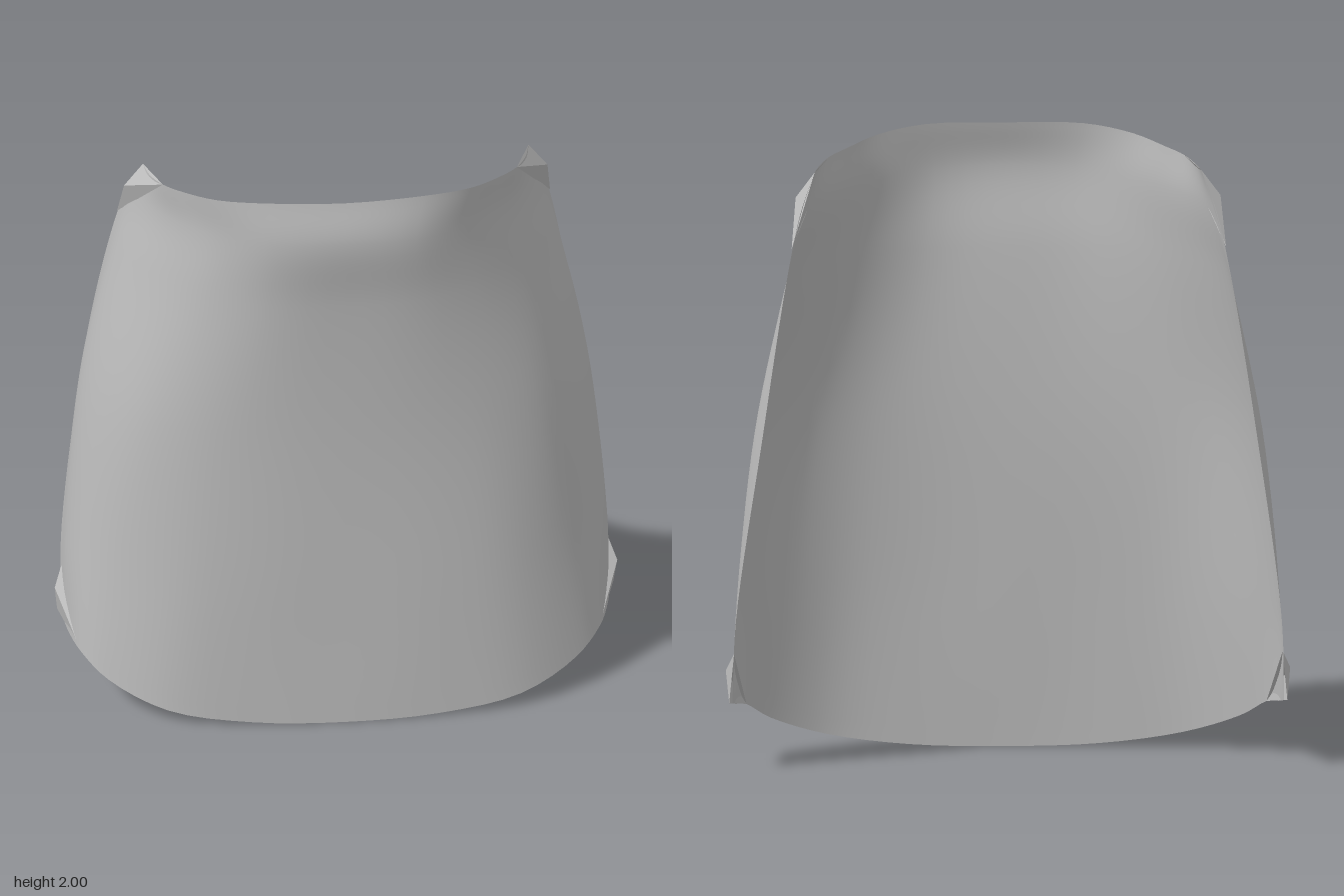
import * as THREE from 'three';
import { ParametricGeometry } from 'three/addons/geometries/ParametricGeometry.js';

// Half cross-sections from the centre line to the side edge, bottom to top.
const sections = [
  [[0, 0, .25], [.3, .01, .24], [.56, .05, .21], [.74, .12, .125], [.82, .18, .05], [.855, .2, -.05], [.87, .22, -.14]],
  [[0, .45, .24], [.3, .45, .235], [.53, .46, .2], [.71, .48, .11], [.81, .5, .01], [.855, .5, -.1], [.86, .5, -.2]],
  [[0, 1.1, .24], [.3, 1.1, .225], [.5, 1.1, .18], [.65, 1.1, .1], [.755, 1.1, -.03], [.8, 1.1, -.17], [.78, 1.1, -.3]],
  [[0, 1.6, .265], [.24, 1.6, .25], [.42, 1.6, .18], [.55, 1.6, .08], [.64, 1.6, -.03], [.69, 1.6, -.14], [.7, 1.6, -.225]],
  [[0, 1.86, .297], [.22, 1.85, .275], [.36, 1.84, .21], [.47, 1.83, .12], [.56, 1.82, .02], [.62, 1.81, -.08], [.655, 1.8, -.165]],
  [[0, 2, .27], [.25, 2, .25], [.4, 1.98, .19], [.5, 1.955, .1], [.56, 1.94, .03], [.595, 1.925, -.05], [.61, 1.92, -.12]],
];

// Small creased corner: a, b on the sheet, c the sheet corner, d the raised tip.
const folds = {
  lowerCornerFold: [[.82, .18, .05], [.865, .38, -.15], [.88, .22, -.14], [.89, .32, -.11]],
  upperCornerFold: [[.56, 1.94, .03], [.685, 1.69, -.2], [.61, 1.92, -.12], [.67, 1.84, -.12]],
};

function sheetGeometry() {
  // Lengthwise curves, one per section point.
  const columns = sections[0].map((_, i) =>
    new THREE.CatmullRomCurve3(sections.map(row => new THREE.Vector3(...row[i]))));
  const crossCurves = new Map();
  const crossCurve = v => {
    if (!crossCurves.has(v)) {
      const half = columns.map(c => c.getPoint(THREE.MathUtils.clamp(v, 0, 1)));
      const mirrored = half.slice(1).reverse().map(p => new THREE.Vector3(-p.x, p.y, p.z));
      crossCurves.set(v, new THREE.CatmullRomCurve3([...mirrored, ...half]));
    }
    return crossCurves.get(v);
  };
  const geometry = new ParametricGeometry((u, v, target) => {
    crossCurve(v).getPoint(THREE.MathUtils.clamp(u, 0, 1), target);
  }, 48, 40);
  geometry.computeVertexNormals();
  return geometry;
}

function foldGeometry([a, b, c, d], side) {
  const faces = side > 0 ? [a, d, b, a, c, d, c, b, d] : [a, b, d, a, d, c, c, d, b];
  const points = faces.map(p => new THREE.Vector3(p[0] * side, p[1], p[2]));
  const geometry = new THREE.BufferGeometry().setFromPoints(points);
  geometry.computeVertexNormals();
  return geometry;
}

export function createModel() {
  const model = new THREE.Group();
  model.name = 'curvedPlate';
  const grey = new THREE.MeshStandardMaterial({ color: 0xbcbcbc, side: THREE.DoubleSide });
  grey.name = 'grey';

  const add = (name, geometry) => {
    const mesh = new THREE.Mesh(geometry, grey);
    mesh.name = name;
    model.add(mesh);
  };

  // Curved sheet
  add('curvedSheet', sheetGeometry());

  // Creased corners on both sides
  for (const side of [1, -1])
    for (const [name, points] of Object.entries(folds))
      add((side > 0 ? 'left ' : 'right ') + name, foldGeometry(points, side));

  return model;
}
